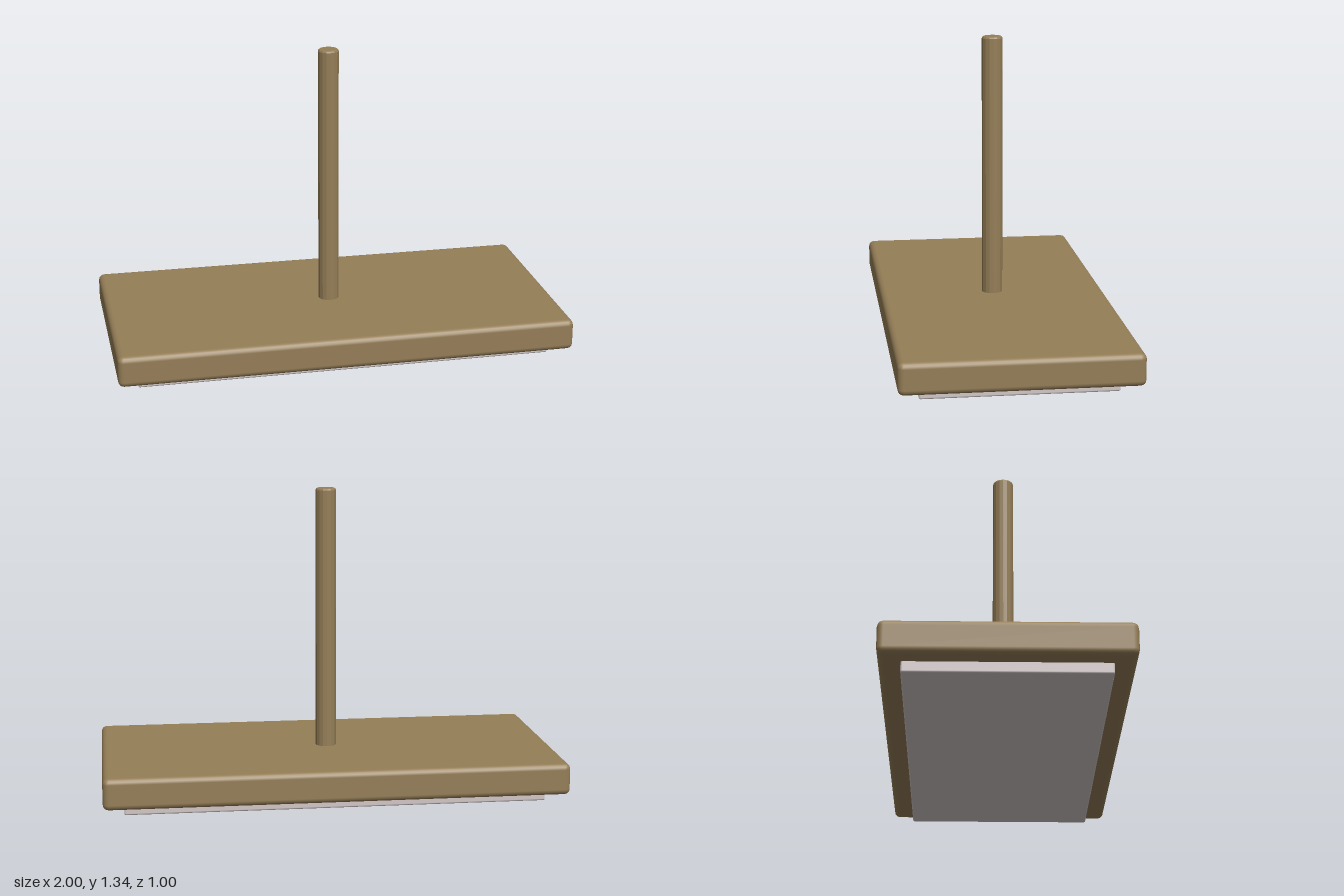
import * as THREE from 'three';
import { RoundedBoxGeometry } from 'three/addons/geometries/RoundedBoxGeometry.js';

export function createModel() {
  const model = new THREE.Group();
  model.name = 'standWithPole';

  const wood = new THREE.MeshStandardMaterial({ color: 0x957e57 });
  wood.name = 'brown wood';
  const felt = new THREE.MeshStandardMaterial({ color: 0xd2c7c7 });
  felt.name = 'pale grey pad';

  const add = (name, geometry, material, y) => {
    const mesh = new THREE.Mesh(geometry, material);
    mesh.name = name;
    mesh.position.y = y;
    model.add(mesh);
  };

  // Rounded slab, from y = 0.045 to 0.182
  add('baseSlab', new RoundedBoxGeometry(2, 0.137, 1, 2, 0.025), wood, 0.1135);

  // Thin pad under the slab, its top sunk slightly into it
  add('bottomPad', new RoundedBoxGeometry(1.82, 0.06, 0.82, 2, 0.008), felt, 0.03);

  // Upright pole with a small bevel at the top
  const profile = [[0.046, 0.15], [0.046, 1.327], [0.043, 1.333], [0.038, 1.336], [0, 1.336]]
    .map(([r, y]) => new THREE.Vector2(r, y));
  const pole = new THREE.LatheGeometry(profile, 16).toNonIndexed();
  pole.computeVertexNormals();
  add('pole', pole, wood, 0);

  return model;
}
